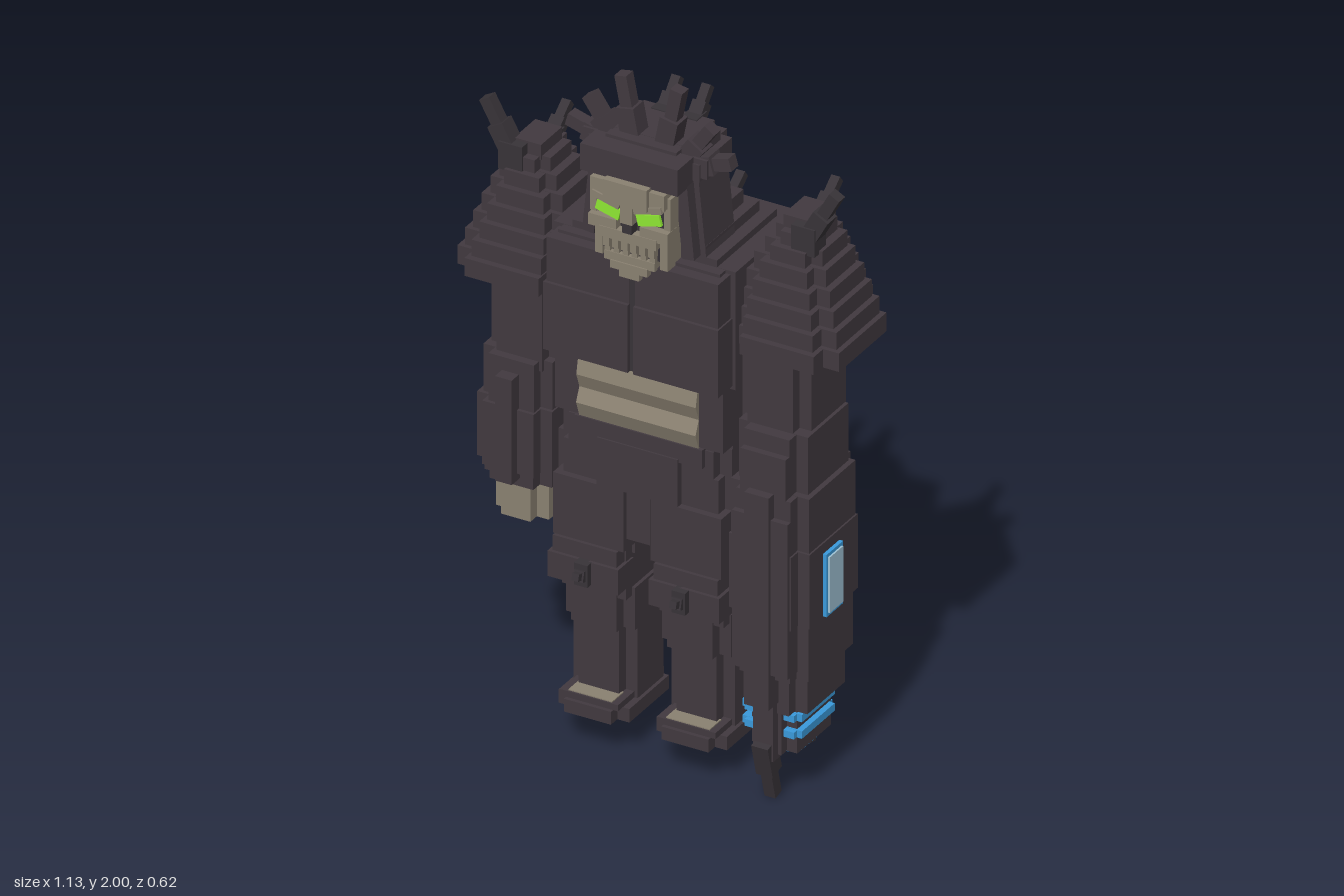
import * as THREE from 'three';

const paint = (name, color) => {
  const m = new THREE.MeshStandardMaterial({ color });
  m.name = name;
  return m;
};

export function createModel() {
  const root = new THREE.Group();
  root.name = 'armouredWarrior';
  const armour = paint('dark armour', 0x41393f);
  const iron = paint('black iron', 0x383338);
  const bone = paint('bone', 0x8a8171);
  const blue = paint('bright blue', 0x3a9adb);
  const glass = paint('pale glass', 0x9fc2d4);
  const green = paint('eye green', 0x92ec34);

  let part = root;
  const begin = (name) => {
    part = new THREE.Group();
    part.name = name;
    root.add(part);
  };
  // Box given by its limits on each axis, optionally rolled about z
  const box = (name, mat, x0, x1, y0, y1, z0, z1, roll = 0) => {
    const g = new THREE.BoxGeometry(Math.abs(x1 - x0), y1 - y0, Math.abs(z1 - z0));
    const m = new THREE.Mesh(g, mat);
    m.position.set((x0 + x1) / 2, (y0 + y1) / 2, (z0 + z1) / 2);
    m.rotation.z = roll;
    m.name = name;
    part.add(m);
  };
  // Block with notched vertical corners: two crossing boxes
  const notched = (name, mat, x0, x1, y0, y1, z0, z1, n = 0.035) => {
    const dx = Math.sign(x1 - x0) * n;
    box(name, mat, x0, x1, y0, y1, z0 + n, z1 - n);
    box(name, mat, x0 + dx, x1 - dx, y0 + 0.001, y1 - 0.001, z0, z1);
  };
  // Square spike with a thick root and a thin tip
  const spike = (name, a, b, w = 0.03, mat = iron) => {
    const A = new THREE.Vector3(...a), B = new THREE.Vector3(...b);
    const dir = B.clone().sub(A), len = dir.length();
    dir.normalize();
    for (const [t0, t1, k] of [[0, 0.55, 1.5], [0.4, 1, 1]]) {
      const m = new THREE.Mesh(new THREE.BoxGeometry(w * k, len * (t1 - t0), w * k), mat);
      m.quaternion.setFromUnitVectors(new THREE.Vector3(0, 1, 0), dir);
      m.position.copy(A).addScaledVector(dir, len * (t0 + t1) / 2);
      m.name = name;
      part.add(m);
    }
  };
  const sides = [['left', 1], ['right', -1]];

  // Legs
  for (const [side, s] of sides) {
    begin(side + 'Leg');
    notched('foot', armour, s * 0.04, s * 0.25, 0.1, 0.14, -0.03, 0.245);
    box('toeCap', armour, s * 0.06, s * 0.23, 0.14, 0.158, 0.15, 0.235);
    box('toeInset', bone, s * 0.08, s * 0.21, 0.155, 0.161, 0.17, 0.23);
    notched('shin', armour, s * 0.05, s * 0.24, 0.14, 0.36, -0.02, 0.185);
    notched('calf', armour, s * 0.04, s * 0.245, 0.36, 0.485, -0.03, 0.215);
    box('kneePad', armour, s * 0.045, s * 0.255, 0.5, 0.575, 0.18, 0.26);
    box('kneePadTop', armour, s * 0.055, s * 0.245, 0.575, 0.62, 0.18, 0.25);
    box('kneeBoss', iron, s * 0.125, s * 0.165, 0.51, 0.575, 0.25, 0.28);
    spike('kneeSpike', [s * 0.145, 0.54, 0.27], [s * 0.145, 0.55, 0.308], 0.02);
    box('kneeJoint', armour, s * 0.05, s * 0.24, 0.46, 0.62, 0, 0.21);
    box('kneeBack', bone, s * 0.085, s * 0.205, 0.485, 0.588, -0.027, 0.02);
    notched('lowerThigh', armour, s * 0.04, s * 0.25, 0.588, 0.66, -0.035, 0.215);
    notched('thigh', armour, s * 0.02, s * 0.265, 0.655, 0.9, -0.04, 0.22);
    box('thighPlate', armour, s * 0.04, s * 0.25, 0.62, 0.8, 0.15, 0.24);
  }

  // Hips, skirt and belly
  begin('hips');
  notched('pelvis', armour, -0.25, 0.25, 0.72, 0.98, -0.06, 0.22);
  box('frontSkirt', armour, -0.12, 0.12, 0.8, 0.94, 0.2, 0.24);
  box('frontSkirtTip', armour, -0.035, 0.035, 0.66, 0.82, 0.15, 0.235);
  box('belt', armour, -0.19, 0.19, 0.93, 0.985, 0.18, 0.235);
  [[0.67, 0.77, 0.1], [0.77, 0.88, 0.112], [0.88, 0.965, 0.105]].forEach(([a, b, d]) =>
    box('backSkirt', armour, -0.2, 0.2, a, b, -d, -0.04));

  begin('torso');
  notched('waist', armour, -0.25, 0.25, 0.96, 1.2, -0.09, 0.215);
  // Ribbed belly plate: zigzag section swept across the width
  const rib = new THREE.Shape([[0.18, 0.98], [0.228, 0.98], [0.246, 1.03], [0.229, 1.07],
    [0.245, 1.113], [0.232, 1.175], [0.18, 1.175]].map(([z, y]) => new THREE.Vector2(-z, y)));
  const belly = new THREE.Mesh(new THREE.ExtrudeGeometry(rib, { depth: 0.355, bevelEnabled: false }), bone);
  belly.rotation.y = Math.PI / 2;
  belly.position.x = -0.178;
  belly.name = 'ribbedBelly';
  part.add(belly);

  // Chest and back
  notched('chest', armour, -0.27, 0.27, 1.17, 1.52, -0.13, 0.23, 0.03);
  for (const [, s] of sides) {
    box('chestPlate', armour, s * 0.008, s * 0.26, 1.18, 1.38, 0.2, 0.275);
    box('upperChestPlate', armour, s * 0.008, s * 0.255, 1.38, 1.51, 0.2, 0.265);
    box('bellyFlank', armour, s * 0.178, s * 0.25, 0.99, 1.19, 0.17, 0.23);
  }
  box('chestSeam', iron, -0.01, 0.01, 1.18, 1.5, 0.2, 0.262);
  box('backPlate', armour, -0.235, 0.235, 1.03, 1.51, -0.177, -0.08);
  box('backRidge', armour, -0.165, 0.165, 1.12, 1.46, -0.198, -0.15);
  [[1.4, 1.49, 0.305], [1.27, 1.36, 0.285], [1.145, 1.22, 0.27]].forEach(([y0, y1, z]) => {
    box('spineBoss', iron, -0.03, 0.03, y0 - 0.015, y0 + 0.035, -0.215, -0.19);
    spike('spineSpike', [0, y0 + 0.01, -0.19], [0, y1, -z], 0.026);
  });
  [[0.215, 0.11, 1.54], [0.18, 0.08, 1.57], [0.15, 0.05, 1.61]].forEach(([w, d, y]) =>
    box('collar', armour, -w, w, 1.5, y, -d, 0.2));

  // Shoulder pads: seven shrinking notched tiers
  for (const [side, s] of sides) {
    begin(side + 'Shoulder');
    const outer = [0.567, 0.552, 0.535, 0.518, 0.498, 0.48, 0.455];
    const inner = [0.25, 0.255, 0.26, 0.27, 0.285, 0.31, 0.335];
    const tops = [1.355, 1.405, 1.455, 1.505, 1.555, 1.6, 1.64];
    outer.forEach((o, i) => {
      const y0 = i ? tops[i - 1] : 1.3;
      notched('padTier', armour, s * inner[i], s * o, y0, tops[i], -0.112 + i * 0.013, 0.23 - i * 0.016, 0.048 - i * 0.003);
    });
    box('padCap', armour, s * 0.36, s * 0.44, 1.63, 1.675, 0, 0.11);
    box('sideHornBase', iron, s * 0.4, s * 0.47, 1.59, 1.67, 0.08, 0.14);
    spike('sideHorn', [s * 0.44, 1.63, 0.11], [s * 0.52, 1.775, 0.11], 0.033);
    box('rearHornBase', iron, s * 0.375, s * 0.43, 1.58, 1.65, -0.04, 0.02);
    spike('rearHorn', [s * 0.4, 1.62, -0.01], [s * 0.4, 1.69, -0.1], 0.026);
    begin(side + 'UpperArm');
    notched('upperArm', armour, s * 0.27, s * 0.475, 1.06, 1.31, -0.05, 0.2);
    box('elbow', bone, s * 0.322, s * 0.443, 1.02, 1.14, -0.058, -0.01);
  }

  // Right forearm and hand
  begin('rightForearm');
  notched('forearmTop', armour, -0.28, -0.485, 0.92, 1.09, -0.045, 0.225);
  notched('forearm', armour, -0.275, -0.498, 0.76, 0.95, -0.055, 0.235);
  notched('cuff', armour, -0.285, -0.485, 0.715, 0.78, -0.03, 0.22);
  box('forearmRidge', armour, -0.36, -0.41, 0.74, 1.05, 0.2, 0.262);
  notched('hand', bone, -0.305, -0.462, 0.605, 0.74, 0, 0.2);

  // Left arm: long weapon casing
  begin('leftWeaponArm');
  [[0.265, 0.375, 0.29, 0.48, -0.035, 0.23], [0.375, 0.54, 0.275, 0.495, -0.05, 0.25],
    [0.54, 0.76, 0.265, 0.505, -0.058, 0.262], [0.76, 0.92, 0.268, 0.5, -0.055, 0.255],
    [0.92, 1.09, 0.28, 0.485, -0.045, 0.235]].forEach(([y0, y1, x0, x1, z0, z1]) =>
    notched('casing', armour, x0, x1, y0, y1, z0, z1));
  box('frontPlate', armour, 0.3, 0.465, 0.4, 0.86, 0.22, 0.272);
  box('frontPlateTop', armour, 0.315, 0.45, 0.86, 1.04, 0.2, 0.255);
  box('frontRidge', armour, 0.342, 0.415, 0.3, 0.93, 0.2, 0.282);
  notched('barrel', armour, 0.315, 0.45, 0.14, 0.28, -0.01, 0.225, 0.03);
  for (const y of [0.191, 0.24]) notched('glowRing', blue, 0.29, 0.467, y, y + 0.022, 0.015, 0.215, 0.015);
  notched('muzzleGlow', blue, 0.325, 0.44, 0.128, 0.142, 0.05, 0.18, 0.025);
  box('windowFrame', blue, 0.49, 0.516, 0.545, 0.73, 0.072, 0.158);
  box('windowGlass', glass, 0.514, 0.521, 0.555, 0.72, 0.08, 0.15);
  box('innerWindowFrame', blue, 0.25, 0.28, 0.545, 0.73, 0.072, 0.158);
  box('innerWindowGlass', glass, 0.245, 0.252, 0.555, 0.72, 0.08, 0.15);
  box('bladeMount', armour, 0.35, 0.41, 0.13, 0.32, 0.19, 0.25);
  spike('frontSpike', [0.38, 0.18, 0.245], [0.38, 0.005, 0.198], 0.033);
  spike('rearSpike', [0.38, 0.2, -0.01], [0.38, 0.07, 0.015], 0.028);

  // Hood and crown
  begin('hood');
  notched('hoodBack', armour, -0.14, 0.14, 1.55, 1.8, 0.02, 0.2, 0.03);
  for (const [, s] of sides) {
    box('hoodSide', armour, s * 0.13, s * 0.17, 1.53, 1.79, 0.05, 0.2, s * 0.1);
    box('hoodCheek', armour, s * 0.12, s * 0.155, 1.54, 1.77, 0.15, 0.235, s * 0.1);
    [[0.045, 1.8, 0.083, 1.995], [0.1, 1.79, 0.182, 1.907], [0.13, 1.79, 0.243, 1.822]].forEach(([x0, y0, x1, y1]) =>
      spike('crownSpike', [s * x0, y0, 0.165], [s * x1, y1, 0.165], 0.036, armour));
    box('rearCrownBase', iron, s * 0.022, s * 0.068, 1.77, 1.84, -0.005, 0.05);
    spike('rearCrownSpike', [s * 0.045, 1.81, 0.02], [s * 0.045, 1.89, -0.05], 0.026);
    box('crownClamp', armour, s * 0.14, s * 0.185, 1.77, 1.825, 0.135, 0.2);
  }
  notched('crownBand', armour, -0.165, 0.165, 1.76, 1.81, 0, 0.24, 0.035);
  notched('crownTop', armour, -0.145, 0.145, 1.79, 1.838, 0.02, 0.22, 0.04);
  box('brow', armour, -0.145, 0.145, 1.75, 1.828, 0.2, 0.283);

  // Skull mask
  begin('skull');
  box('darkCore', iron, -0.1, 0.1, 1.53, 1.75, 0.18, 0.265);
  box('forehead', bone, -0.11, 0.11, 1.7, 1.745, 0.2, 0.292);
  box('foreheadCentre', bone, -0.065, 0.065, 1.69, 1.755, 0.2, 0.305);
  box('noseBridge', bone, -0.018, 0.018, 1.635, 1.7, 0.2, 0.298);
  box('nose', iron, -0.014, 0.014, 1.605, 1.64, 0.25, 0.294);
  box('upperJaw', bone, -0.085, 0.085, 1.575, 1.605, 0.2, 0.29);
  box('lowerJaw', bone, -0.075, 0.075, 1.505, 1.53, 0.2, 0.28);
  box('chin', bone, -0.055, 0.055, 1.485, 1.508, 0.21, 0.284);
  box('chinTip', bone, -0.03, 0.03, 1.465, 1.488, 0.22, 0.282);
  for (const [, s] of sides) {
    box('temple', bone, s * 0.1, s * 0.12, 1.635, 1.73, 0.2, 0.275);
    box('cheek', bone, s * 0.035, s * 0.118, 1.598, 1.632, 0.2, 0.288);
    box('jawHinge', bone, s * 0.085, s * 0.108, 1.51, 1.61, 0.2, 0.27);
    box('browRidge', bone, s * 0.02, s * 0.105, 1.682, 1.7, 0.22, 0.298, s * 0.25);
    box('eye', green, s * 0.025, s * 0.096, 1.641, 1.673, 0.278, 0.287, s * 0.25);
    for (const x of [0.013, 0.04, 0.067]) {
      box('upperTooth', bone, s * (x - 0.009), s * (x + 0.009), 1.546, 1.58, 0.25, 0.284);
      box('lowerTooth', bone, s * (x - 0.008), s * (x + 0.008), 1.52, 1.55, 0.25, 0.278);
    }
  }
  return root;
}
